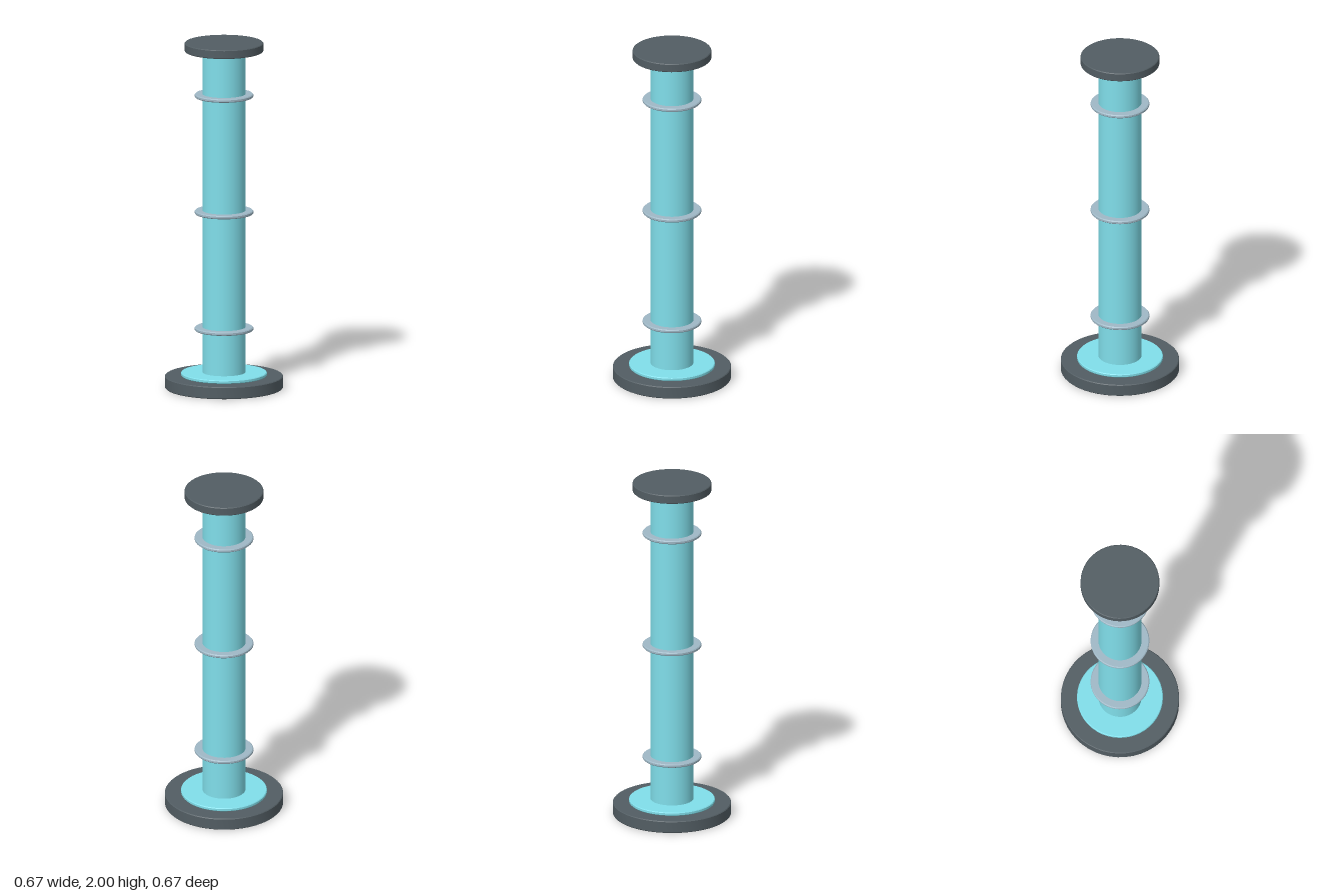
import * as THREE from 'three';
import { toCreasedNormals } from 'three/addons/utils/BufferGeometryUtils.js';

const dark = new THREE.MeshStandardMaterial({ color: 0x525d63 });
const cyan = new THREE.MeshStandardMaterial({ color: 0x80deea });
const steel = new THREE.MeshStandardMaterial({ color: 0x9fb8c6 });

// Round disc from y0 to y1 with small bevelled rims
function disc(name, radius, y0, y1, bevel, material) {
  const profile = [
    [0, y0], [radius - bevel, y0], [radius, y0 + bevel],
    [radius, y1 - bevel], [radius - bevel, y1], [0, y1],
  ].map(([r, y]) => new THREE.Vector2(r, y));
  const geometry = toCreasedNormals(new THREE.LatheGeometry(profile, 48), 0.5);
  const mesh = new THREE.Mesh(geometry, material);
  mesh.name = name;
  return mesh;
}

export function createModel() {
  const model = new THREE.Group();
  model.name = 'column';

  // Foot, with a thin plate on top
  model.add(disc('base', 0.336, 0, 0.07, 0.004, dark));
  model.add(disc('basePlate', 0.244, 0.07, 0.09, 0.004, cyan));

  // Shaft
  const shaft = new THREE.Mesh(new THREE.CylinderGeometry(0.123, 0.123, 1.86, 48, 1, true), cyan);
  shaft.name = 'shaft';
  shaft.position.y = 1.02;
  model.add(shaft);

  // Evenly spaced collars around the shaft
  [0.342, 1.018, 1.694].forEach((y, i) => {
    model.add(disc(`collar${i + 1}`, 0.167, y - 0.01, y + 0.01, 0.005, steel));
  });

  // Cap
  model.add(disc('cap', 0.224, 1.95, 2, 0.004, dark));
  return model;
}
